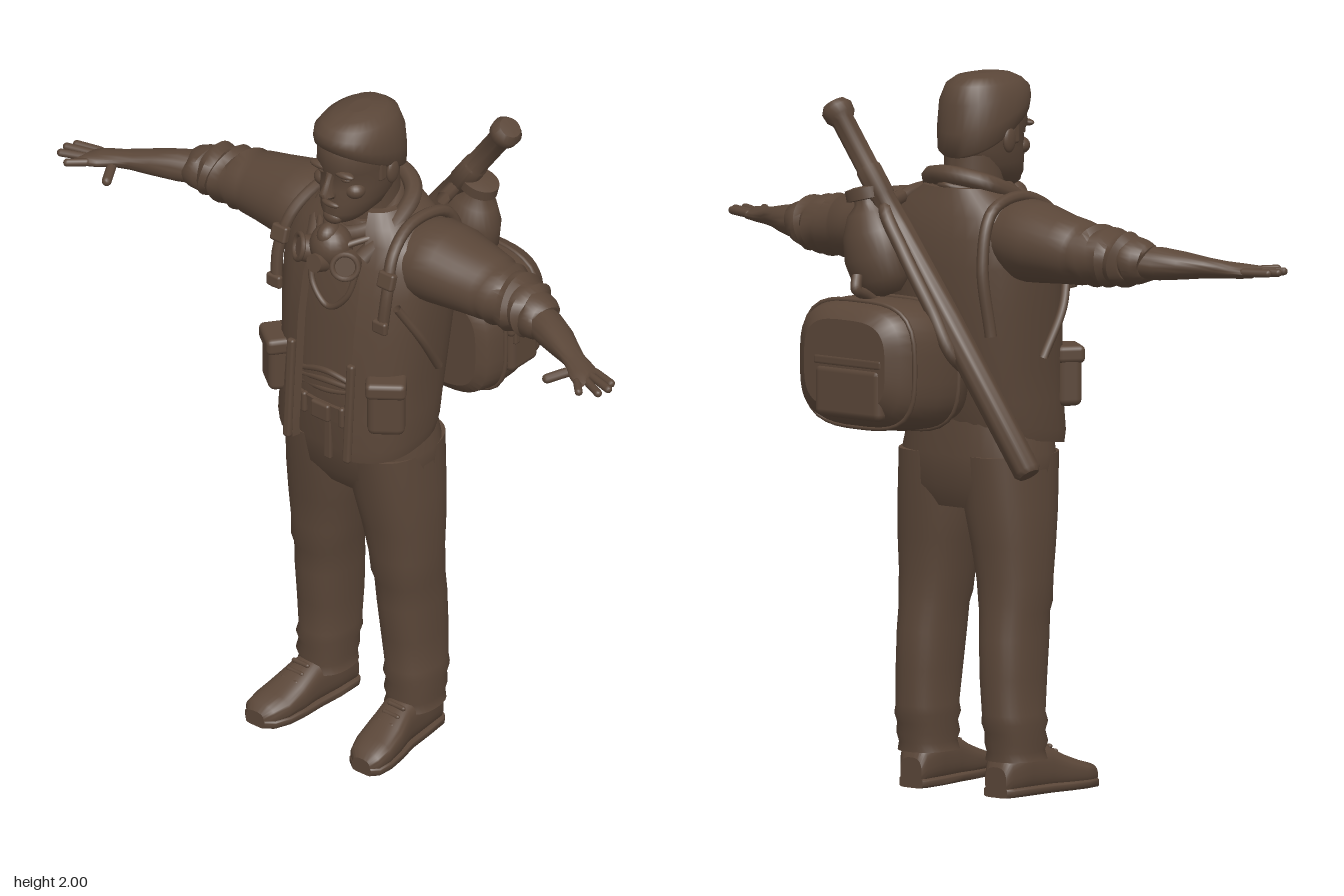
import * as THREE from 'three';
import { toCreasedNormals } from 'three/addons/utils/BufferGeometryUtils.js';
import { RoundedBoxGeometry } from 'three/addons/geometries/RoundedBoxGeometry.js';

const brown = new THREE.MeshStandardMaterial({ color: 0x5a4638, side: THREE.DoubleSide });
brown.name = 'clay brown';
const V = (x, y, z) => new THREE.Vector3(x, y, z);

// Skins closed rings of points; both ends are capped with strips.
function skin(rings, crease = 0.9) {
  const n = rings[0].length, tris = [];
  const quad = (a, b, c, d) => tris.push(a, b, c, a, c, d);
  for (let i = 0; i + 1 < rings.length; i++)
    for (let j = 0; j < n; j++) {
      const k = (j + 1) % n;
      quad(rings[i][j], rings[i][k], rings[i + 1][k], rings[i + 1][j]);
    }
  const cap = (r, flip) => {
    for (let j = 0; j < n / 2 - 1; j++) {
      const q = [r[j], r[n - 1 - j], r[n - 2 - j], r[j + 1]];
      quad(...(flip ? q.reverse() : q));
    }
  };
  cap(rings[0], true);
  cap(rings[rings.length - 1], false);
  // Turn the faces outward
  let vol = 0;
  for (let i = 0; i < tris.length; i += 3) vol += tris[i].dot(V(0, 0, 0).crossVectors(tris[i + 1], tris[i + 2]));
  if (vol < 0) for (let i = 0; i < tris.length; i += 3) [tris[i + 1], tris[i + 2]] = [tris[i + 2], tris[i + 1]];
  const g = new THREE.BufferGeometry().setFromPoints(tris);
  return toCreasedNormals(g, crease);
}

const pw = (v, e) => Math.sign(v) * Math.abs(v) ** e;
// Superellipse ring across an axis: centre c, half sizes a and b
function ring(axis, c, a, b, e = 0.85, n = 32) {
  return Array.from({ length: n }, (_, i) => {
    const t = ((i + 0.5) / n) * Math.PI * 2, u = a * pw(Math.sin(t), e), v = b * pw(Math.cos(t), e);
    if (axis === 'y') return V(c.x + u, c.y, c.z + v);
    if (axis === 'x') return V(c.x, c.y + u, c.z + v);
    return V(c.x + u, c.y + v, c.z);
  });
}
// Upright loft; rows are [y, xMin, xMax, zBack, zFront]
const upright = (rows, e, s = 1) => skin(rows.map(([y, x0, x1, z0, z1]) =>
  ring('y', V(s * (x0 + x1) / 2, y, (z0 + z1) / 2), (x1 - x0) / 2, (z1 - z0) / 2, e)));
const body = (rows, e) => upright(rows.map(([y, rx, z0, z1]) => [y, -rx, rx, z0, z1]), e);

export function createModel() {
  const model = new THREE.Group();
  const add = (name, geo, x = 0, y = 0, z = 0) => {
    const m = new THREE.Mesh(geo, brown);
    m.name = name;
    m.position.set(x, y, z);
    model.add(m);
    return m;
  };
  const blob = (name, x, y, z, rx, ry, rz) => add(name, new THREE.SphereGeometry(1, 20, 14), x, y, z).scale.set(rx, ry, rz);
  const box = (name, x, y, z, w, h, d, r = 0.008) => add(name, new RoundedBoxGeometry(w, h, d, 2, r), x, y, z);
  const between = (name, geo, a, b) => {
    const m = add(name, geo, ...a.clone().add(b).multiplyScalar(0.5).toArray());
    m.quaternion.setFromUnitVectors(V(0, 1, 0), b.clone().sub(a).normalize());
    return m;
  };
  const limb = (name, a, b, r) => between(name, new THREE.CapsuleGeometry(r, a.distanceTo(b) - r, 4, 10), a, b);
  const tube = (name, pts, r, closed = false) =>
    add(name, new THREE.TubeGeometry(new THREE.CatmullRomCurve3(pts.map(p => V(...p)), closed), 40, r, 8, closed));

  // Head and neck
  add('neck', body([[1.58, 0.09, 0.0, 0.19], [1.68, 0.078, 0.005, 0.185], [1.78, 0.08, 0.01, 0.19]], 1));
  add('head', body([[1.675, 0.03, 0.17, 0.25], [1.685, 0.048, 0.12, 0.27], [1.715, 0.074, 0.06, 0.277],
    [1.75, 0.087, 0.03, 0.272], [1.79, 0.095, 0.012, 0.272], [1.825, 0.098, 0.006, 0.264], [1.85, 0.102, 0.004, 0.279],
    [1.9, 0.104, 0.004, 0.275], [1.95, 0.095, 0.015, 0.26], [1.985, 0.06, 0.04, 0.22]], 0.95));
  const hair = [[1.84, 0.1, 0.005, 0.262], [1.85, 0.109, -0.002, 0.28], [1.89, 0.112, -0.003, 0.285],
    [1.94, 0.107, 0.003, 0.282], [1.975, 0.088, 0.02, 0.262], [1.993, 0.06, 0.05, 0.23], [2.0, 0.025, 0.1, 0.18]];
  add('hair', skin(hair.map(([y, rx, z0, z1], i) => ring('y', V(0, y, (z0 + z1) / 2), rx, (z1 - z0) / 2, 0.9)
    .map(p => V(p.x, p.y + (p.z - 0.14) * [0.5, 0.5, 0.35, 0.15, 0.03, 0, 0][i], p.z)))));
  add('nose', upright([[1.765, -0.016, 0.016, 0.25, 0.285], [1.778, -0.022, 0.022, 0.25, 0.308],
    [1.79, -0.016, 0.016, 0.25, 0.31], [1.82, -0.01, 0.01, 0.25, 0.29], [1.845, -0.012, 0.012, 0.25, 0.28]], 1));
  blob('lips', 0, 1.742, 0.268, 0.03, 0.01, 0.013);
  blob('chin', 0, 1.697, 0.258, 0.032, 0.022, 0.022);
  for (const s of [-1, 1]) {
    blob('eye', s * 0.04, 1.828, 0.25, 0.017, 0.009, 0.012);
    blob('brow', s * 0.042, 1.85, 0.262, 0.036, 0.011, 0.016).rotation;
    blob('cheek', s * 0.055, 1.79, 0.228, 0.03, 0.025, 0.03);
    blob('ear', s * 0.104, 1.82, 0.125, 0.012, 0.036, 0.024);
    box('sideburn', s * 0.095, 1.84, 0.16, 0.016, 0.07, 0.03);
  }

  // Shirt, belt and trousers
  add('shirt', body([[1.04, 0.2, -0.02, 0.282], [1.14, 0.21, -0.03, 0.288], [1.2, 0.21, -0.04, 0.28], [1.35, 0.22, -0.05, 0.272],
    [1.5, 0.22, -0.06, 0.25], [1.6, 0.17, -0.04, 0.22], [1.66, 0.1, -0.02, 0.19]], 0.8));
  for (let i = 0; i < 3; i++)
    tube('shirtFold', [[-0.1, 1.13 + i * 0.02, 0.27], [0, 1.14 + i * 0.03, 0.283], [0.1, 1.16 + i * 0.01, 0.27]], 0.009);
  add('belt', body([[1.05, 0.205, -0.03, 0.293], [1.1, 0.205, -0.03, 0.297]], 0.8));
  box('beltBuckle', -0.01, 1.075, 0.297, 0.065, 0.055, 0.02);
  for (const x of [-0.075, 0.06]) box('beltLoop', x, 1.075, 0.29, 0.018, 0.065, 0.02);
  add('hips', body([[0.8, 0.19, 0, 0.22], [0.86, 0.23, -0.028, 0.258], [0.95, 0.227, -0.035, 0.275], [1.06, 0.2, -0.03, 0.285]], 0.8));
  box('fly', 0, 0.98, 0.278, 0.025, 0.13, 0.014, 0.005);
  for (const s of [-1, 1]) {
    add('trouserLeg', upright([[0.95, 0, 0.225, -0.03, 0.268], [0.8, 0.003, 0.236, -0.02, 0.248], [0.7, 0.025, 0.238, -0.01, 0.23],
      [0.6, 0.043, 0.236, 0, 0.214], [0.54, 0.052, 0.235, -0.003, 0.213], [0.51, 0.058, 0.231, -0.003, 0.202],
      [0.44, 0.065, 0.23, -0.012, 0.2], [0.33, 0.072, 0.23, -0.015, 0.188], [0.23, 0.08, 0.23, -0.012, 0.178],
      [0.205, 0.077, 0.236, -0.013, 0.184], [0.18, 0.084, 0.23, -0.004, 0.175], [0.15, 0.08, 0.236, -0.002, 0.182],
      [0.125, 0.087, 0.228, 0.004, 0.174], [0.1, 0.08, 0.235, 0.004, 0.18]], 0.85, s));
    // Shoes run front to back: z, centre, half width, height
    const shoe = [[0.008, 0.152, 0.038, 0.08], [0.025, 0.154, 0.05, 0.12], [0.1, 0.158, 0.055, 0.14], [0.18, 0.165, 0.055, 0.13],
      [0.24, 0.173, 0.062, 0.098], [0.3, 0.181, 0.063, 0.075], [0.345, 0.188, 0.052, 0.062], [0.364, 0.191, 0.03, 0.042]];
    add('shoe', skin(shoe.map(([z, x, w, h]) => ring('z', V(s * x, h / 2 + 0.005, z), w, h / 2, 0.75))));
    add('sole', skin(shoe.map(([z, x, w]) => ring('z', V(s * x, 0.014, z), w + 0.004, 0.014, 0.4))));
    for (let i = 0; i < 3; i++) limb('lace', V(s * 0.145, 0.128 - i * 0.016, 0.19 + i * 0.024), V(s * 0.2, 0.128 - i * 0.016, 0.19 + i * 0.024), 0.007);
  }

  // Open jacket: outer wall and inner wall with a gap at the front
  const jacket = [[0.985, 0.222, -0.02, 0.325, 0.1], [1.02, 0.228, -0.03, 0.328, 0.1], [1.1, 0.226, -0.045, 0.32, 0.1],
    [1.2, 0.232, -0.06, 0.312, 0.1], [1.35, 0.243, -0.077, 0.3, 0.1], [1.48, 0.25, -0.08, 0.277, 0.1], [1.56, 0.25, -0.075, 0.252, 0.09],
    [1.62, 0.222, -0.062, 0.23, 0.085], [1.66, 0.165, -0.048, 0.21, 0.07], [1.695, 0.115, -0.035, 0.19, 0.06]];
  add('jacket', skin(jacket.map(([y, rx, z0, z1, gap], i) => {
    const half = k => Array.from({ length: 33 }, (_, j) => {
      const g = Math.asin((gap / rx) ** (1 / 0.78)), t = g + (j / 32) * (2 * Math.PI - 2 * g);
      const x = 0.003 + (rx - k) * pw(Math.sin(t), 0.78), z = (z0 + z1) / 2 + ((z1 - z0) / 2 - k) * pw(Math.cos(t), 0.78);
      return V(x, y - (i < 2 ? (z - 0.15) * 0.14 : 0), z);
    });
    return [...half(0), ...half(0.022).reverse()];
  }), 0.7));
  tube('collar', [[-0.085, 1.58, 0.235], [-0.12, 1.65, 0.15], [-0.1, 1.71, 0.03], [0, 1.73, -0.015],
    [0.1, 1.71, 0.03], [0.12, 1.65, 0.15], [0.085, 1.58, 0.235]], 0.026);
  tube('scarf', [[0, 1.62, 0.215], [-0.09, 1.66, 0.13], [0, 1.71, 0.0], [0.09, 1.66, 0.13]], 0.024, true);

  for (const s of [-1, 1]) {
    box('jacketFacing', s * 0.107, 1.12, 0.317, 0.025, 0.31, 0.02).rotation.x = -0.06;
    const pocket = box('jacketPocket', s * 0.196, 1.15, 0.262, 0.105, 0.15, 0.07, 0.02);
    const flap = box('pocketFlap', s * 0.197, 1.22, 0.265, 0.115, 0.05, 0.08, 0.015);
    pocket.rotation.y = flap.rotation.y = s * 0.65;
    // Harness straps and buckles
    tube('shoulderStrap', [[s * 0.19, 1.4, 0.275], [s * 0.195, 1.52, 0.258], [s * 0.18, 1.62, 0.215], [s * 0.165, 1.668, 0.12],
      [s * 0.17, 1.64, -0.03], [s * 0.18, 1.5, -0.082], [s * 0.2, 1.3, -0.07]], 0.017);
    box('strapBuckle', s * 0.192, 1.56, 0.255, 0.055, 0.05, 0.025).rotation.x = -0.3;
    box('strapBuckle', s * 0.19, 1.42, 0.282, 0.05, 0.04, 0.02);
    tube('looseStrap', [[s * 0.215, 1.47, 0.24], [s * 0.25, 1.36, 0.18], [s * 0.248, 1.23, 0.1]], 0.013);

    // Sleeve with bunched folds, rolled cuff, forearm and hand
    const along = (name, rows) => add(name, skin(rows.map(([x, y, z, a, b], i) =>
      ring('x', V(s * x, y, z), a, b, 1).map((p, j) => V(p.x + s * 0.008 * Math.sin(j * 0.39 + i), p.y, p.z)))));
    along('sleeve', [[0.14, 1.56, 0.08, 0.09, 0.11], [0.22, 1.555, 0.075, 0.115, 0.132], [0.28, 1.553, 0.07, 0.11, 0.128],
      [0.36, 1.545, 0.068, 0.097, 0.112], [0.42, 1.54, 0.068, 0.09, 0.102], [0.44, 1.538, 0.07, 0.083, 0.096], [0.47, 1.537, 0.07, 0.088, 0.102],
      [0.49, 1.535, 0.073, 0.077, 0.088], [0.52, 1.535, 0.075, 0.084, 0.096], [0.54, 1.533, 0.078, 0.07, 0.08],
      [0.565, 1.533, 0.08, 0.078, 0.087], [0.585, 1.531, 0.084, 0.062, 0.07]]);
    along('rolledCuff', [[0.57, 1.531, 0.085, 0.056, 0.062], [0.585, 1.531, 0.087, 0.068, 0.074], [0.61, 1.53, 0.092, 0.064, 0.068],
      [0.63, 1.53, 0.097, 0.054, 0.058], [0.635, 1.53, 0.098, 0.044, 0.05]]);
    along('forearm', [[0.58, 1.528, 0.085, 0.045, 0.05], [0.66, 1.526, 0.115, 0.046, 0.055], [0.72, 1.523, 0.142, 0.039, 0.049],
      [0.78, 1.519, 0.172, 0.029, 0.038], [0.82, 1.516, 0.192, 0.024, 0.036], [0.86, 1.514, 0.212, 0.021, 0.046],
      [0.89, 1.513, 0.226, 0.018, 0.048], [0.905, 1.512, 0.232, 0.011, 0.042]]);
    const fingers = [[0.885, 0.19, 0.967, 0.212], [0.89, 0.213, 0.98, 0.24], [0.89, 0.238, 0.972, 0.275], [0.88, 0.26, 0.925, 0.305]];
    for (const [x0, z0, x1, z1] of fingers) limb('finger', V(s * x0, 1.514, z0), V(s * x1, 1.516, z1), 0.0115);
    limb('thumb', V(s * 0.83, 1.508, 0.215), V(s * 0.79, 1.498, 0.29), 0.014);

    // Respirator filters
    const filter = add('maskFilter', new THREE.CylinderGeometry(0.036, 0.042, 0.05, 24), s * 0.07, 1.575, 0.285);
    filter.rotation.set(1.25, 0, -s * 0.6);
    const rim = add('filterRim', new THREE.TorusGeometry(0.036, 0.008, 8, 24), s * 0.083, 1.585, 0.305);
    rim.rotation.set(-0.3, s * 0.6, 0);
  }

  // Respirator hanging at the neck, with its cord
  blob('maskBody', 0, 1.605, 0.265, 0.062, 0.065, 0.06);
  add('maskValve', new THREE.CylinderGeometry(0.026, 0.03, 0.04, 20), 0, 1.575, 0.322).rotation.x = 1.3;
  blob('maskNose', 0, 1.645, 0.275, 0.03, 0.035, 0.04);
  tube('maskStrap', [[-0.05, 1.62, 0.26], [-0.115, 1.65, 0.14], [0, 1.7, -0.025], [0.115, 1.65, 0.14], [0.05, 1.62, 0.26]], 0.01);
  tube('neckCord', [[-0.085, 1.56, 0.25], [-0.06, 1.46, 0.272], [0, 1.41, 0.278], [0.06, 1.46, 0.272], [0.085, 1.56, 0.25]], 0.009);

  // Backpack, lofted from the back of the jacket outward
  const pack = [[-0.045, 0.17, 0.14], [-0.06, 0.2, 0.165], [-0.12, 0.215, 0.18], [-0.2, 0.212, 0.185], [-0.28, 0.2, 0.178], [-0.33, 0.18, 0.16], [-0.355, 0.145, 0.125]];
  add('backpack', skin(pack.map(([z, w, h]) => ring('z', V(0.09, 1.215 - (z + 0.2) * 0.08, z), w, h, 0.6, 40))));
  for (const [z, w, h] of [[-0.12, 0.216, 0.181], [-0.29, 0.199, 0.176]])
    tube('packSeam', ring('z', V(0.09, 1.215 - (z + 0.2) * 0.08, z), w, h, 0.6, 40).map(p => p.toArray()), 0.007, true);
  box('packPocket', 0.08, 1.15, -0.335, 0.24, 0.15, 0.05, 0.022);
  box('packPocketFlap', 0.08, 1.235, -0.34, 0.25, 0.035, 0.034, 0.012);
  box('sidePocket', 0.295, 1.19, -0.19, 0.05, 0.15, 0.12, 0.02);
  box('sidePocketFlap', 0.3, 1.26, -0.19, 0.05, 0.05, 0.13, 0.015);
  for (const z of [-0.15, -0.23]) box('sideBuckle', 0.318, 1.235, z, 0.018, 0.05, 0.022, 0.006);
  tube('packHandle', [[0.1, 1.38, -0.2], [0.1, 1.41, -0.25], [0.1, 1.43, -0.29], [0.11, 1.465, -0.275]], 0.016);

  // Round flask above the pack
  const flask = [[0, -0.14], [0.05, -0.132], [0.085, -0.095], [0.098, -0.03], [0.09, 0.04], [0.065, 0.095], [0.038, 0.12], [0.036, 0.132],
    [0.058, 0.134], [0.058, 0.165], [0.03, 0.17], [0, 0.17]].map(p => new THREE.Vector2(...p));
  const bottle = add('flask', toCreasedNormals(new THREE.LatheGeometry(flask, 28), 0.8), 0.145, 1.53, -0.155);
  bottle.scale.z = 0.83;
  bottle.rotation.z = -0.25;

  // Bat slung diagonally across the back
  const bat = [[0, -0.6], [0.03, -0.598], [0.039, -0.585], [0.04, -0.1], [0.037, 0.2], [0.033, 0.3], [0.036, 0.305], [0.036, 0.39], [0.032, 0.395],
    [0.032, 0.545], [0.043, 0.56], [0.045, 0.585], [0.032, 0.603], [0, 0.606]].map(p => new THREE.Vector2(...p));
  between('bat', toCreasedNormals(new THREE.LatheGeometry(bat, 24), 0.8), V(-0.4, 0.935, -0.142), V(0.305, 1.915, -0.142));
  tube('batStrap', [[0.14, 1.66, -0.05], [0.1, 1.64, -0.165], [0.02, 1.53, -0.185], [-0.08, 1.38, -0.185], [-0.15, 1.25, -0.17], [-0.17, 1.17, -0.05]], 0.02);
  return model;
}
